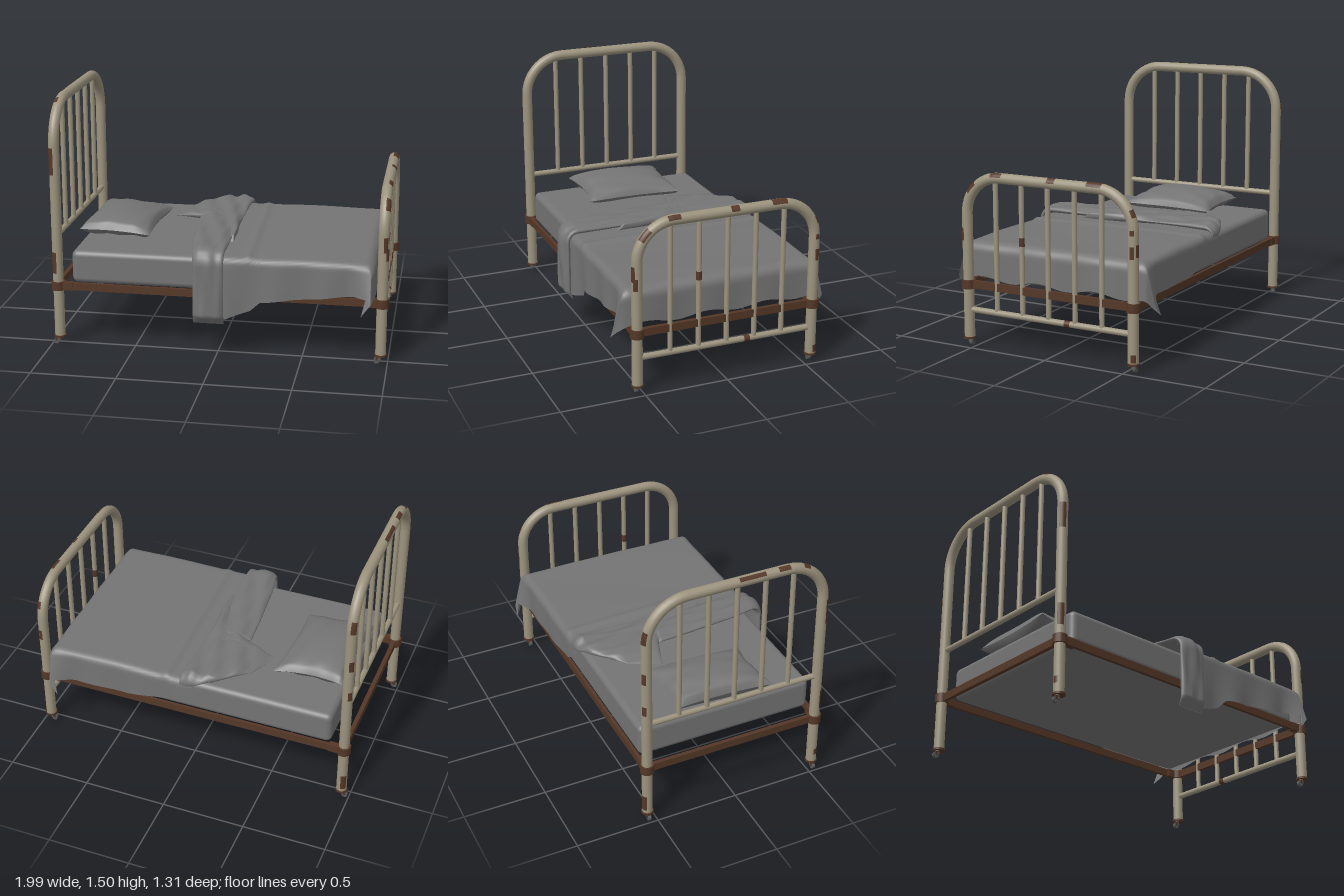
import * as THREE from 'three';
import { RoundedBoxGeometry } from 'three/addons/geometries/RoundedBoxGeometry.js';
import { ParametricGeometry } from 'three/addons/geometries/ParametricGeometry.js';

const mat = (name, color, side = THREE.FrontSide) => {
  const m = new THREE.MeshStandardMaterial({ color, side });
  m.name = name;
  return m;
};
const V = (x, y, z) => new THREE.Vector3(x, y, z);
const smooth = THREE.MathUtils.smoothstep;

// Linear lookup in rows [key, value, value...]
function lookup(rows, key, col = 1) {
  for (let i = 1; i < rows.length; i++) {
    const a = rows[i - 1], b = rows[i];
    if (key <= b[0] || i === rows.length - 1) {
      const f = THREE.MathUtils.clamp((key - a[0]) / (b[0] - a[0]), 0, 1);
      return a[col] + (b[col] - a[col]) * f;
    }
  }
}

// Path of cloth over a rounded edge: flat, quarter turn, then straight down
function drape(t, half, r = 0.04) {
  const s = Math.sign(t) || 1, e = Math.abs(t) - (half - r), arc = r * Math.PI / 2;
  if (e <= 0) return { pos: t, drop: 0, up: 1, out: 0 };
  const a = Math.min(e / r, Math.PI / 2);
  return {
    pos: s * (half - r + r * Math.sin(a)),
    drop: r * (1 - Math.cos(a)) + Math.max(0, e - arc),
    up: Math.cos(a), out: s * Math.sin(a),
  };
}
const hemLength = (half, drop, r = 0.04) => half - r + r * Math.PI / 2 + drop - r;

export function createModel() {
  const bed = new THREE.Group();
  bed.name = 'bed';
  const frame = new THREE.Group();
  frame.name = 'ironFrame';
  frame.position.set(0.003, 0, -0.006);
  bed.add(frame);
  const paint = mat('cream paint', 0x9c937e);
  const rust = mat('rusty brown', 0x543727, THREE.DoubleSide);
  const cloth = mat('grey cloth', 0x747474, THREE.DoubleSide);
  const metal = mat('caster grey', 0x5a5a5a);

  const add = (name, geo, material, x = 0, y = 0, z = 0, parent = frame) => {
    const m = new THREE.Mesh(geo, material);
    m.name = name;
    m.position.set(x, y, z);
    parent.add(m);
    return m;
  };
  const sheet = (name, fn, nu, nv, material, parent = bed) => {
    const g = new ParametricGeometry(fn, nu, nv);
    g.computeVertexNormals();
    return add(name, g, material, 0, 0, 0, parent);
  };

  const PX = 0.956, PZ = 0.54, PR = 0.031;

  // Arched end frame: bent tube, cross rail, upright bars
  function endFrame(name, x, top, R, railY, railR) {
    const g = new THREE.Group();
    g.name = name;
    frame.add(g);
    const k = R * 0.4477, yb = top - R, zb = PZ - R;
    const path = new THREE.CurvePath();
    path.add(new THREE.LineCurve3(V(x, 0.05, PZ), V(x, yb, PZ)));
    path.add(new THREE.CubicBezierCurve3(V(x, yb, PZ), V(x, top - k, PZ), V(x, top, PZ - k), V(x, top, zb)));
    path.add(new THREE.LineCurve3(V(x, top, zb), V(x, top, -zb)));
    path.add(new THREE.CubicBezierCurve3(V(x, top, -zb), V(x, top, k - PZ), V(x, top - k, -PZ), V(x, yb, -PZ)));
    path.add(new THREE.LineCurve3(V(x, yb, -PZ), V(x, 0.05, -PZ)));
    add('archTube', new THREE.TubeGeometry(path, 110, PR, 16), paint, 0, 0, 0, g);
    const rail = add('crossRail', new THREE.CylinderGeometry(railR, railR, PZ * 2, 12), paint, x, railY, 0, g);
    rail.rotation.x = Math.PI / 2;
    for (let i = -2; i <= 2; i++) {
      add('uprightBar', new THREE.CylinderGeometry(0.015, 0.015, top - railY, 12), paint,
        x, (top + railY) / 2, i * 0.172, g);
    }
    return path;
  }
  const head = endFrame('headboard', -PX, 1.463, 0.24, 0.68, 0.017);
  const foot = endFrame('footboard', PX, 1.005, 0.22, 0.22, 0.018);

  // Worn patches: thin shells on the tube, given by arc length and angle (in units of PI)
  function wear(path, list) {
    const L = path.getLength(), r = PR + 0.0015;
    for (const [s0, s1, a0, a1] of list) {
      sheet('rustPatch', (u, v, p) => {
        const f = (s0 + (s1 - s0) * v) / L;
        const a = (a0 + (a1 - a0) * u) * Math.PI;
        const N = V(1, 0, 0).cross(path.getTangentAt(f));
        p.copy(path.getPointAt(f)).addScaledVector(N, r * Math.sin(a));
        p.x += r * Math.cos(a);
      }, 6, 6, rust, frame);
    }
  }
  wear(head, [
    [0.06, 0.1, 0.8, 1.05], [0.4, 0.53, 0.5, 0.9], [1.0, 1.16, 0.5, 0.9], [1.42, 1.46, 0.5, 0.8],
    [1.54, 1.61, 0.55, 0.85], [1.69, 1.85, 0.6, 0.85], [2.45, 2.52, 0.5, 0.85],
    [2.71, 2.78, 0.55, 0.85], [2.93, 2.99, 0.6, 0.85], [3.57, 3.67, 0.5, 0.85],
  ]);
  wear(foot, [
    [0.58, 0.65, 0.05, 0.32], [0.63, 0.72, 0.22, 0.48], [0.86, 0.93, 0.05, 0.45],
    [1.04, 1.11, 0.08, 0.4], [1.41, 1.46, 0.05, 0.45], [1.66, 1.75, 0.1, 0.5], [1.95, 1.99, 0.2, 0.5],
    [2.05, 2.08, -0.05, 0.2], [2.13, 2.2, 0.3, 0.55], [2.14, 2.21, -0.05, 0.2], [2.74, 2.785, 0, 0.3],
  ]);
  add('barRust', new THREE.CylinderGeometry(0.016, 0.016, 0.05, 12), rust, PX, 0.655, 0.172);
  add('railRust', new THREE.CylinderGeometry(0.019, 0.019, 0.035, 12), rust, PX, 0.22, -0.125).rotation.x = Math.PI / 2;

  // Iron frame rails
  for (const s of [-1, 1]) {
    add('sideRail', new THREE.BoxGeometry(1.91, 0.045, 0.02), rust, 0, 0.372, s * 0.552);
    add('endRail', new THREE.BoxGeometry(0.025, 0.045, 1.08), rust, s * PX, 0.372, 0);
  }

  // Corner collars, foot rings and casters
  for (const sx of [-1, 1]) for (const sz of [-1, 1]) {
    const x = sx * PX, z = sz * PZ;
    add('collar', new THREE.CylinderGeometry(0.041, 0.041, 0.052, 16), rust, x, 0.371, z);
    add('collarTongue', new THREE.BoxGeometry(0.07, 0.048, 0.036), rust, x - sx * 0.055, 0.371, z + sz * 0.007);
    add('footRing', new THREE.CylinderGeometry(0.036, 0.036, 0.012, 16), rust, x, 0.053, z);
    add('casterStem', new THREE.CylinderGeometry(0.012, 0.015, 0.03, 10), metal, x - 0.01, 0.037, z);
    add('casterFork', new THREE.BoxGeometry(0.02, 0.02, 0.026), rust, x - 0.018, 0.03, z);
    add('casterWheel', new THREE.CylinderGeometry(0.018, 0.018, 0.018, 14), metal, x - 0.022, 0.018, z).rotation.x = Math.PI / 2;
  }

  // Mattress
  add('mattress', new RoundedBoxGeometry(1.76, 0.2, 1.09, 4, 0.035), cloth, 0.01, 0.488, -0.008, bed);

  // Pillow: two puffed halves meeting at a pinched seam
  for (const side of [1, -1]) {
    sheet('pillow', (u, v, p) => {
      const a = u * 2 - 1, b = (v * 2 - 1) * side;
      const puff = Math.pow((1 - a * a) * (1 - b * b), side > 0 ? 0.4 : 0.25);
      const ripple = 0.006 * Math.sin(9 * a + 4 * b) * puff * (a * a + b * b);
      const z = 0.305 * b * (1 - 0.1 * (1 - a * a));
      p.set(
        -0.655 + 0.216 * a * (1 - 0.09 * (1 - b * b)) - 0.04 * z,
        0.635 + side * puff * (side > 0 ? 0.08 - 0.012 * a : 0.045 - 0.01 * a) + ripple - 0.01 * a,
        -0.015 + z,
      );
    }, 28, 28, cloth);
  }

  // Blanket draped over both sides and the foot end, with loose corner tails
  const TOP = 0.612, HALF = 0.587, END = 0.916, ROUND = 0.06;
  const frontHem = [[0, 0.24], [0.06, 0.24], [0.2, 0.29], [0.26, 0.35], [0.5, 0.38], [0.8, 0.42], [1, 0.41]];
  const backHem = [[-0.05, 0.56], [0.12, 0.45], [0.4, 0.41], [1, 0.4]];
  const sMax = hemLength(END, TOP - 0.4, ROUND);
  sheet('blanket', (u, v, p) => {
    const s = -0.02 + (sMax + 0.02) * u, w = v * 2 - 1;
    const hem = lookup(w > 0 ? frontHem : backHem, s);
    const t = w * hemLength(HALF, TOP - hem);
    const dx = drape(s, END, ROUND), dz = drape(t, HALF);
    const both = Math.min(dx.drop, dz.drop);
    const flare = 0.24 * smooth(s, 0.74, 0.9);
    const sideFold = dz.drop * (flare + (w > 0 ? 0.04 : 0.015) * Math.sin(s * 21 + 1));
    const endFold = dx.drop * Math.sin(t * 17) * (1 - Math.min(1, both * 10));
    const crease = 0.01 * Math.exp(-(((s - 0.17 - 0.03 * t) / 0.025) ** 2)) + 0.003 * Math.sin(s * 9 + t * 5);
    p.set(
      dx.pos + endFold * 0.03 - 0.35 * both,
      TOP + crease * dz.up * dx.up - Math.max(dx.drop, dz.drop) - 0.42 * both + endFold * 0.07,
      dz.pos + dz.out * (sideFold + 0.1 * both),
    );
  }, 100, 110, cloth);

  // Folded layers: closed cross-sections between left and right edges, swept over the bed
  function fold(name, rows, lift, thick, ridge) {
    const t0 = rows[0][0], t1 = rows[rows.length - 1][0];
    sheet(name, (u, v, p) => {
      const t = t0 + (t1 - t0) * v, d = drape(t, HALF);
      const x0 = lookup(rows, t, 1), x1 = lookup(rows, t, 2);
      const c = Math.cos(u * 2 * Math.PI), n = Math.sin(u * 2 * Math.PI);
      const x = (x0 + x1) / 2 + (x1 - x0) / 2 * Math.sign(c) * Math.pow(Math.abs(c), 0.7);
      const taper = Math.min(1, v * 14 + 0.1, (1 - v) * 20 + 0.1) * (0.2 + 0.8 * smooth(x, -0.42, -0.2));
      const wave = ridge * Math.max(0, n) * (Math.sin(x * 45 - t * 14) + 0.5 * Math.sin(x * 80 + t * 7));
      const off = lift + (thick * (1 + n) + wave) * taper;
      p.set(x, TOP - d.drop + off * d.up, d.pos + off * d.out);
    }, 56, 90, cloth);
  }
  fold('turnedStrip', [
    [-0.18, -0.22, 0.02], [0.1, -0.2, 0.04], [0.4, -0.17, 0.05],
    [0.6, -0.13, 0.05], [hemLength(HALF, TOP - 0.207), -0.13, 0.05],
  ], 0.002, 0.024, 0.006);
  fold('turnedFlap', [
    [-0.6, 0.0, 0.06], [-0.585, -0.04, 0.06], [-0.54, -0.15, 0.06], [-0.38, -0.32, 0.05], [-0.19, -0.4, 0.05],
    [-0.13, -0.22, 0.05], [0, -0.07, 0.05], [0.13, 0.01, 0.06], [0.3, 0.04, 0.06],
  ], -0.002, 0.026, 0.008);

  return bed;
}
